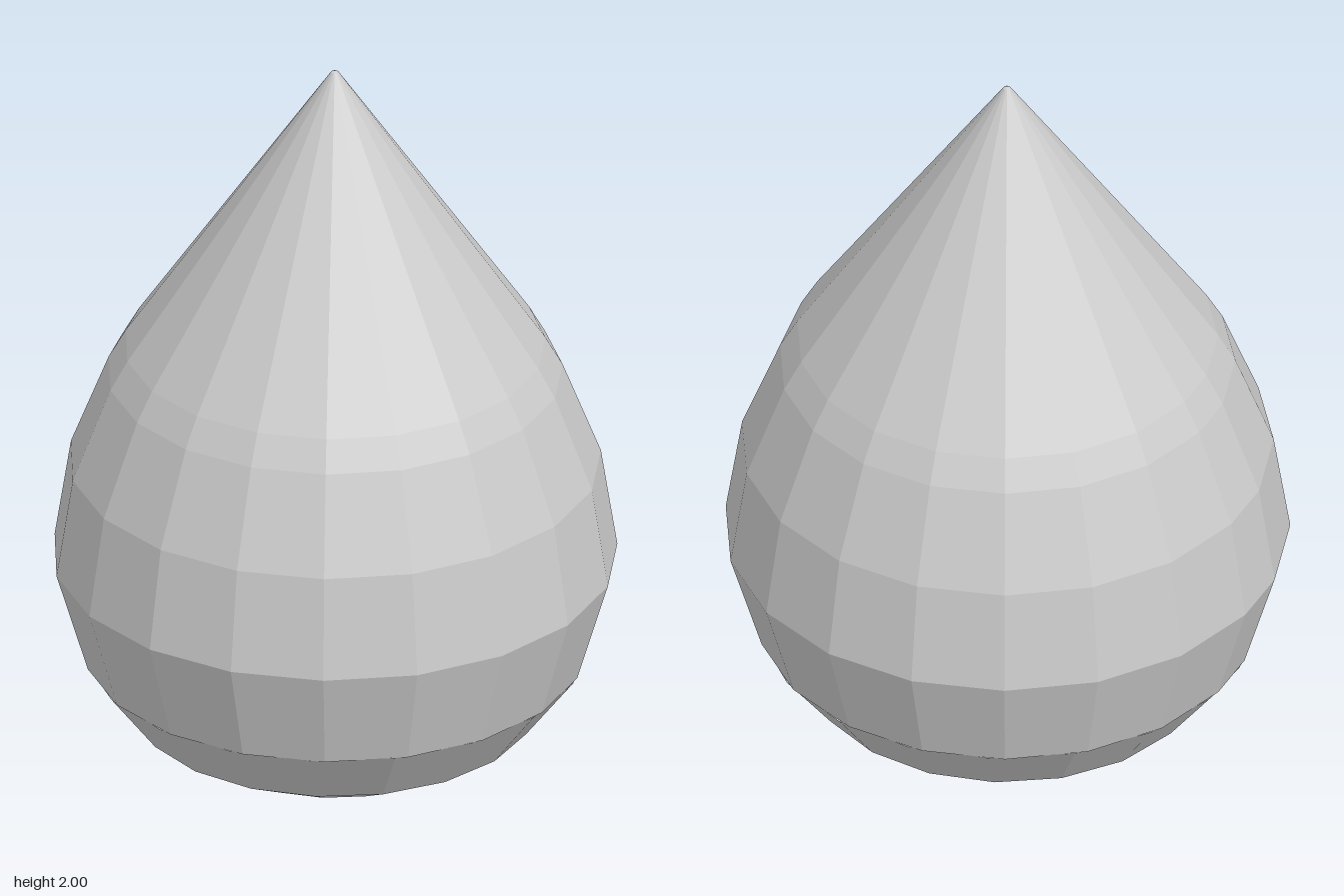
import * as THREE from 'three';

const material = new THREE.MeshStandardMaterial({ color: 0xcccccc, flatShading: true, side: THREE.DoubleSide });

// Facet edges run evenly round the drop, except for one narrow facet that closes the ring.
const SIDES = 19, STEP = 19.24, START = -67;

// Turn a profile of [radius, height] pairs, bottom to top, into a faceted shell.
function facetedShell(name, profile, phase) {
  const points = profile.map(([r, y]) => new THREE.Vector2(r, y));
  const geometry = new THREE.LatheGeometry(points, SIDES);
  const pos = geometry.attributes.position;
  for (let side = 0; side <= SIDES; side++) {
    const degrees = side === SIDES ? START + 360 : START + side * STEP;
    const angle = THREE.MathUtils.degToRad(degrees + phase);
    profile.forEach(([r, y], j) => {
      pos.setXYZ(side * profile.length + j, r * Math.sin(angle), y, r * Math.cos(angle));
    });
  }
  geometry.computeVertexNormals();
  const mesh = new THREE.Mesh(geometry, material);
  mesh.name = name;
  return mesh;
}

export function createModel() {
  const group = new THREE.Group();
  group.name = 'drop';

  // Belly, shoulder and pointed top
  group.add(facetedShell('dropBody', [
    [0.655, 0.31], [0.738, 0.59], [0.695, 0.865], [0.595, 1.12], [0.55, 1.2], [0.01, 1.995], [0, 2],
  ], 0));

  // Rounded bottom cup, its facets turned slightly against those of the body
  group.add(facetedShell('bottomCup', [
    [0, 0], [0.13, 0.004], [0.335, 0.042], [0.525, 0.142], [0.655, 0.312],
  ], -3));

  return group;
}
